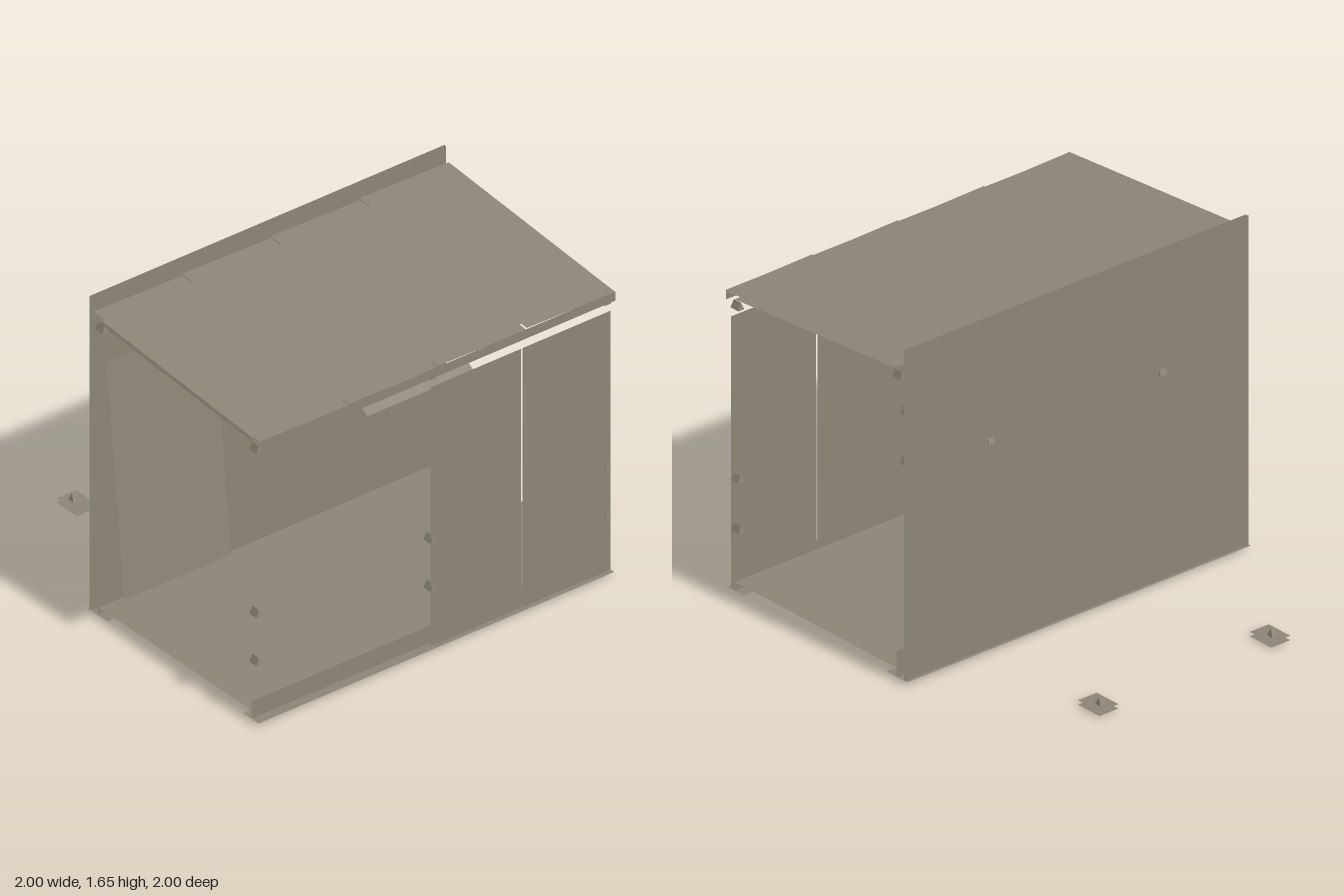
import * as THREE from 'three';

const metal = new THREE.MeshStandardMaterial({ color: 0x8c8576, side: THREE.DoubleSide, flatShading: true });
metal.name = 'weathered grey metal';

// Flat sheet from one corner and two edge vectors
function sheet(name, o, u, v) {
  const p = (a, b) => o.map((c, i) => c + a * u[i] + b * v[i]);
  const g = new THREE.BufferGeometry();
  g.setAttribute('position', new THREE.Float32BufferAttribute(
    [...p(0, 0), ...p(1, 0), ...p(1, 1), ...p(0, 1)], 3));
  g.setIndex([0, 1, 2, 0, 2, 3]);
  g.computeVertexNormals();
  return named(name, g);
}

function named(name, geometry) {
  const m = new THREE.Mesh(geometry, metal);
  m.name = name;
  return m;
}

// Small tapered block: top edge scaled by tx along x and tz along z
function taperedBlock(name, x, y, z, w, h, d, tx, tz) {
  const g = new THREE.BoxGeometry(w, h, d);
  const p = g.attributes.position;
  for (let i = 0; i < p.count; i++) {
    if (p.getY(i) > 0) p.setXYZ(i, p.getX(i) * tx, p.getY(i), p.getZ(i) * tz);
  }
  g.computeVertexNormals();
  const m = named(name, g);
  m.position.set(x, y, z);
  return m;
}

// Ribbed ceiling: trapezoid ribs running along x, sloping down to +x
function ribbedCeiling() {
  const ribs = 16, pitch = 2 / ribs, pos = [], idx = [];
  const profile = [[0, 0], [0.7, 0], [0.76, 0.014], [0.94, 0.014]];
  for (let i = 0; i < ribs; i++) {
    for (const [t, h] of profile) {
      const z = -1 + (i + t) * pitch;
      pos.push(-0.13, 1.546 + h, z, 0.94, 1.465 + h, z);
    }
  }
  pos.push(-0.13, 1.546, 1, 0.94, 1.465, 1);
  for (let i = 0; i < pos.length / 6 - 1; i++) {
    const a = i * 2;
    idx.push(a, a + 2, a + 1, a + 1, a + 2, a + 3);
  }
  const g = new THREE.BufferGeometry();
  g.setAttribute('position', new THREE.Float32BufferAttribute(pos, 3));
  g.setIndex(idx);
  g.computeVertexNormals();
  return named('ribbedCeiling', g);
}

export function createModel() {
  const model = new THREE.Group();
  model.name = 'openShelter';
  const add = (...parts) => model.add(...parts);

  // Tall wall: one outer skin and four inner panels with seams
  add(sheet('tallWallSkin', [-0.205, 0.02, -1], [0, 0, 2], [0, 1.635, 0]));
  for (let i = 0; i < 4; i++) {
    const z = -1 + i * 0.5;
    add(sheet('tallWallPanel', [-0.195, 0.02, z + 0.005], [0, 0, 0.49], [0, 1.635, 0]));
    // Roof panels overlap, each one a little higher at its front edge
    add(sheet('roofPanel', [-0.18, 1.575, z], [0, 0.011, 0.5], [1.18, -0.092, 0]));
  }
  add(sheet('eaveFascia', [1, 1.44, -1], [0, 0, 2], [0, 0.048, 0]));
  add(ribbedCeiling());

  // Half-length low wall in two panels
  add(sheet('lowWallPanel', [0.965, 0.02, -1], [0, 0, 0.495], [0, 1.35, 0]));
  add(sheet('lowWallPanel', [0.965, 0.02, -0.495], [0, 0, 0.51], [0, 1.35, 0]));

  // Floor with folded seams, edge rails and cross beams
  add(sheet('floor', [-0.14, 0.064, -1], [1.08, 0, 0], [0, 0, 2]));
  for (const x of [-0.06, 0.02, 0.82]) {
    add(sheet('floorSeam', [x, 0.067, -1], [0.06, 0, 0], [0, 0, 2]));
  }
  add(sheet('tallRailFlange', [-0.22, 0.02, -1], [0.14, 0, 0], [0, 0, 2]));
  add(sheet('tallRailLip', [-0.15, 0.02, -1], [0, 0, 2], [0, 0.13, 0]));
  add(sheet('lowRailFlange', [0.88, 0.02, -1], [0.11, 0, 0], [0, 0, 2]));
  add(sheet('lowRailLip', [0.94, 0.02, -1], [0, 0, 2], [0, 0.09, 0]));
  for (const z of [-0.75, -0.25, 0.25, 0.75]) {
    const beam = named('crossBeam', new THREE.BoxGeometry(0.98, 0.055, 0.035));
    beam.position.set(0.39, 0.0275, z);
    add(beam);
  }

  // Loose panel leaning on the tall wall, and the hanging strip
  add(sheet('leaningPanel', [-0.06, 0.11, 0.32], [0, 0, 0.6], [-0.125, 1.18, 0]));
  add(sheet('hangingStrip', [0.83, 1.318, -0.3], [0, 0, 0.6], [0.05, -0.028, 0]));

  // Corner and middle brackets
  for (const z of [-0.98, 0, 0.98]) {
    for (const [x, y] of [[0.945, 0.325], [0.945, 0.575], [0.945, 1.43], [-0.145, 1.515]]) {
      add(taperedBlock('bracket', x, y, z, 0.055, 0.036, 0.034, 0.8, 0.1));
    }
  }

  // Wall eyes and ground anchors for the stays
  for (const z of [-0.5, 0.5]) {
    add(taperedBlock('wallEye', -0.2, 1.05, z, 0.03, 0.036, 0.042, 0.1, 0.7));
    add(sheet('anchorPlate', [-1, 0.03, z - 0.055], [0.145, 0, 0], [0, 0, 0.11]));
    add(sheet('anchorBase', [-1, 0.008, z - 0.055], [0.145, 0, 0], [0, 0, 0.11]));
    add(taperedBlock('anchorEye', -0.945, 0.047, z, 0.036, 0.034, 0.036, 0.1, 0.6));
  }
  return model;
}
